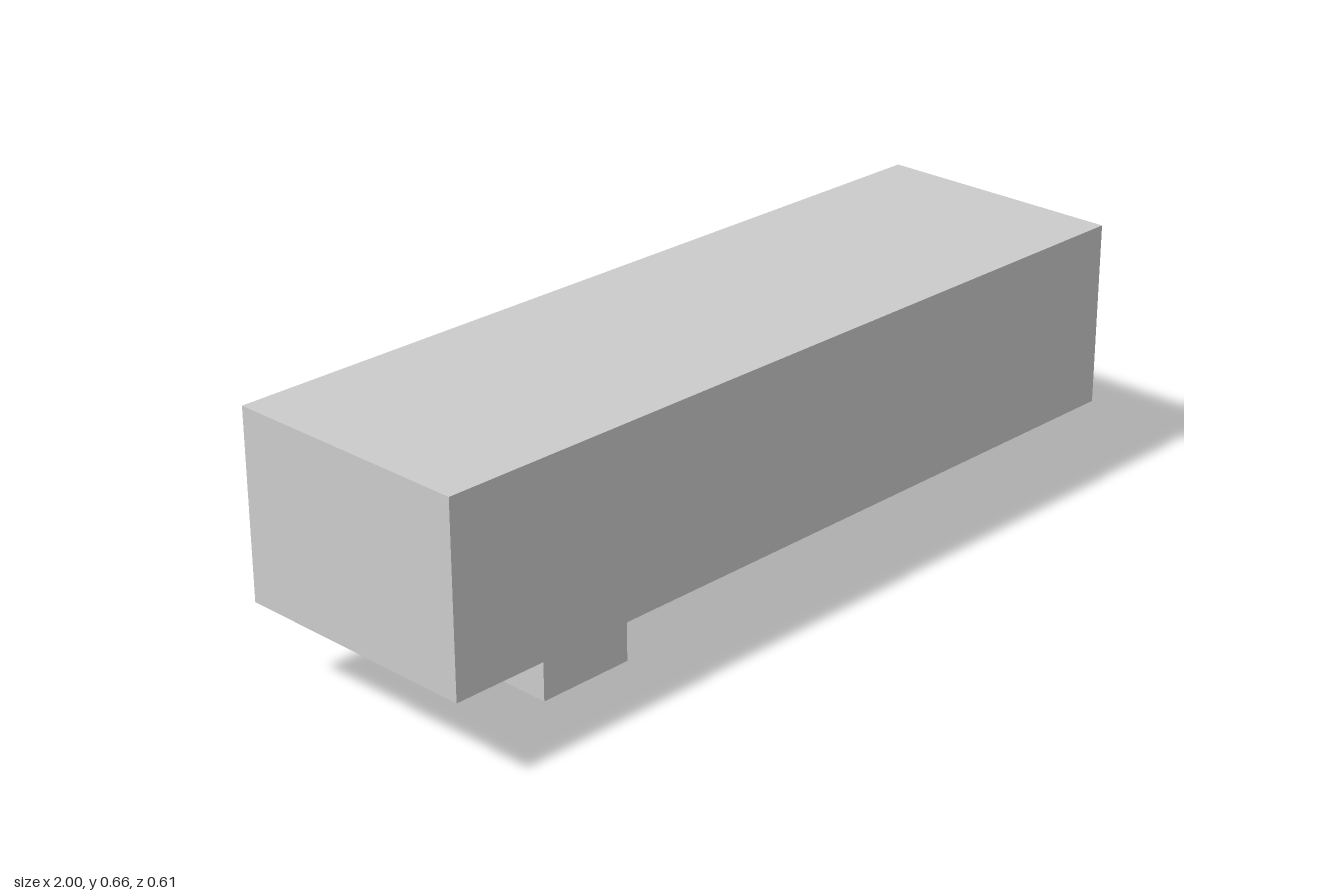
import * as THREE from 'three';

export function createModel() {
  const model = new THREE.Group();
  const material = new THREE.MeshStandardMaterial({ color: 0xcccccc });

  const add = (name, geometry, x, y, z) => {
    const mesh = new THREE.Mesh(geometry, material);
    mesh.name = name;
    mesh.position.set(x, y, z);
    model.add(mesh);
    return mesh;
  };

  // Long main body
  add('body', new THREE.BoxGeometry(2, 0.437, 0.61), 0, 0.4385, 0);

  // Small block hanging under the body
  add('lowerBlock', new THREE.BoxGeometry(0.242, 0.22, 0.243), -0.489, 0.11, 0.01);

  // Round stub pointing to -x from the block
  const stub = add('stub', new THREE.CylinderGeometry(0.06, 0.06, 0.11, 48), -0.665, 0.125, 0.01);
  stub.rotation.z = Math.PI / 2;

  return model;
}
